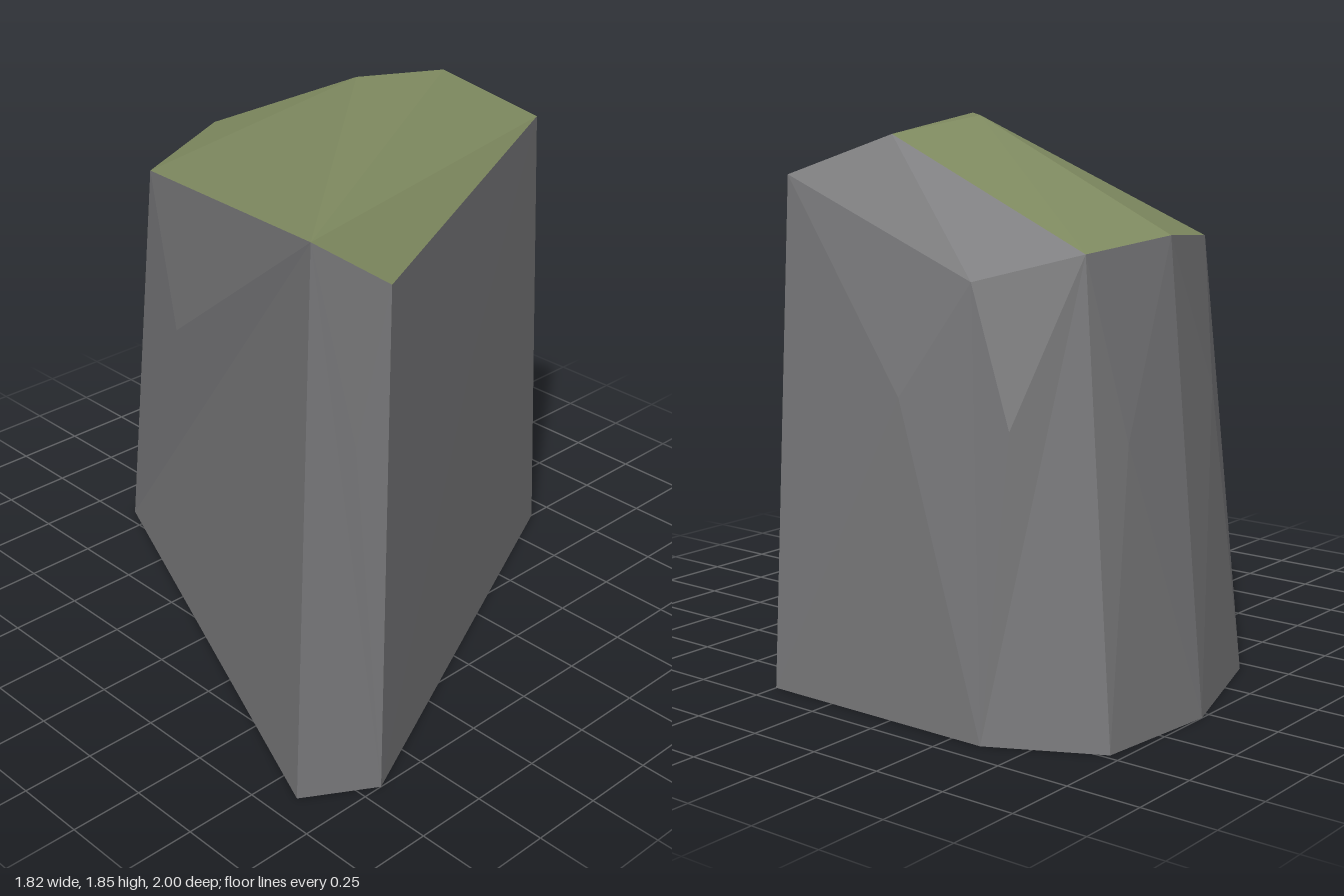
import * as THREE from 'three';

// Foot ring of the boulder, going round from the front left corner
const foot = [[-0.91, 0, 0.86], [-0.68, 0, 1], [0.91, 0, 0.25], [0.91, 0, -0.61],
  [0.73, 0, -0.96], [0.29, 0, -1], [-0.2, 0, -0.84]];
const [A, B, C, D, E, F, G] = foot;

// Rim ring above it, and the peak of the cap
const rim = [[-0.79, 1.82, 0.8], [-0.59, 1.67, 0.92], [0.8, 1.67, 0.26], [0.65, 1.8, -0.05],
  [0.65, 1.47, -0.8], [0.26, 1.5, -0.84], [-0.17, 1.46, -0.69]];
const [a, b, c, d, e, f, g] = rim;
const peak = [0.26, 1.85, -0.09];

// Builds flat facets, each turned to face away from the middle of the boulder
function facets(name, triangles, material) {
  const middle = new THREE.Vector3(0, 0.9, 0);
  const points = [];
  for (const triangle of triangles) {
    const [p, q, r] = triangle.map((v) => new THREE.Vector3(...v));
    const normal = q.clone().sub(p).cross(r.clone().sub(p));
    const outward = normal.dot(p.clone().sub(middle)) > 0;
    points.push(...(outward ? [p, q, r] : [p, r, q]));
  }
  const geometry = new THREE.BufferGeometry().setFromPoints(points);
  geometry.computeVertexNormals();
  const mesh = new THREE.Mesh(geometry, material);
  mesh.name = name;
  return mesh;
}

// Triangles from a hub to every edge of a closed loop
const fan = (hub, loop) => loop.map((p, i) => [hub, p, loop[(i + 1) % loop.length]]);

export function createModel() {
  const stone = new THREE.MeshStandardMaterial({ color: 0x767678 });
  stone.name = 'grey stone';
  const moss = new THREE.MeshStandardMaterial({ color: 0x7f8a60 });
  moss.name = 'moss green';

  const model = new THREE.Group();
  model.name = 'boulder';

  // Chipped walls, each fanned round a slight bump
  model.add(facets('frontWall', fan([0.15, 1.1, 0.585], [B, C, c, b]), stone));
  model.add(facets('frontCornerWall', [[A, B, a], ...fan([-0.7, 1.17, 0.895], [a, B, b])], stone));
  model.add(facets('rightWall', [[A, a, G], ...fan([-0.43, 1.07, -0.25], [a, g, G])], stone));
  model.add(facets('backRightWall', fan([-0.04, 0.99, -0.81], [G, F, f, g]), stone));
  model.add(facets('backWall', fan([0.55, 0.9, -0.89], [F, E, e, f]), stone));

  // Left wall with three chips
  const low = [0.88, 1.02, -0.27];
  const high = [0.8, 1.38, -0.49];
  const rear = [0.82, 0.95, -0.65];
  model.add(facets('leftWall', [
    ...fan(low, [C, c, high, D]),
    [c, d, high], [d, e, high], [high, e, rear], [high, rear, D],
    [D, rear, e], [D, e, E],
  ], stone));

  // Flat underside
  model.add(facets('underside', fan([0, 0, 0], foot), stone));

  // Mossy cap: crown round the peak, and the sloping front edge
  model.add(facets('mossCrown', fan(peak, [a, d, e, f, g]), moss));
  model.add(facets('mossFrontSlope', [[a, b, c], [a, c, d]], moss));
  return model;
}
